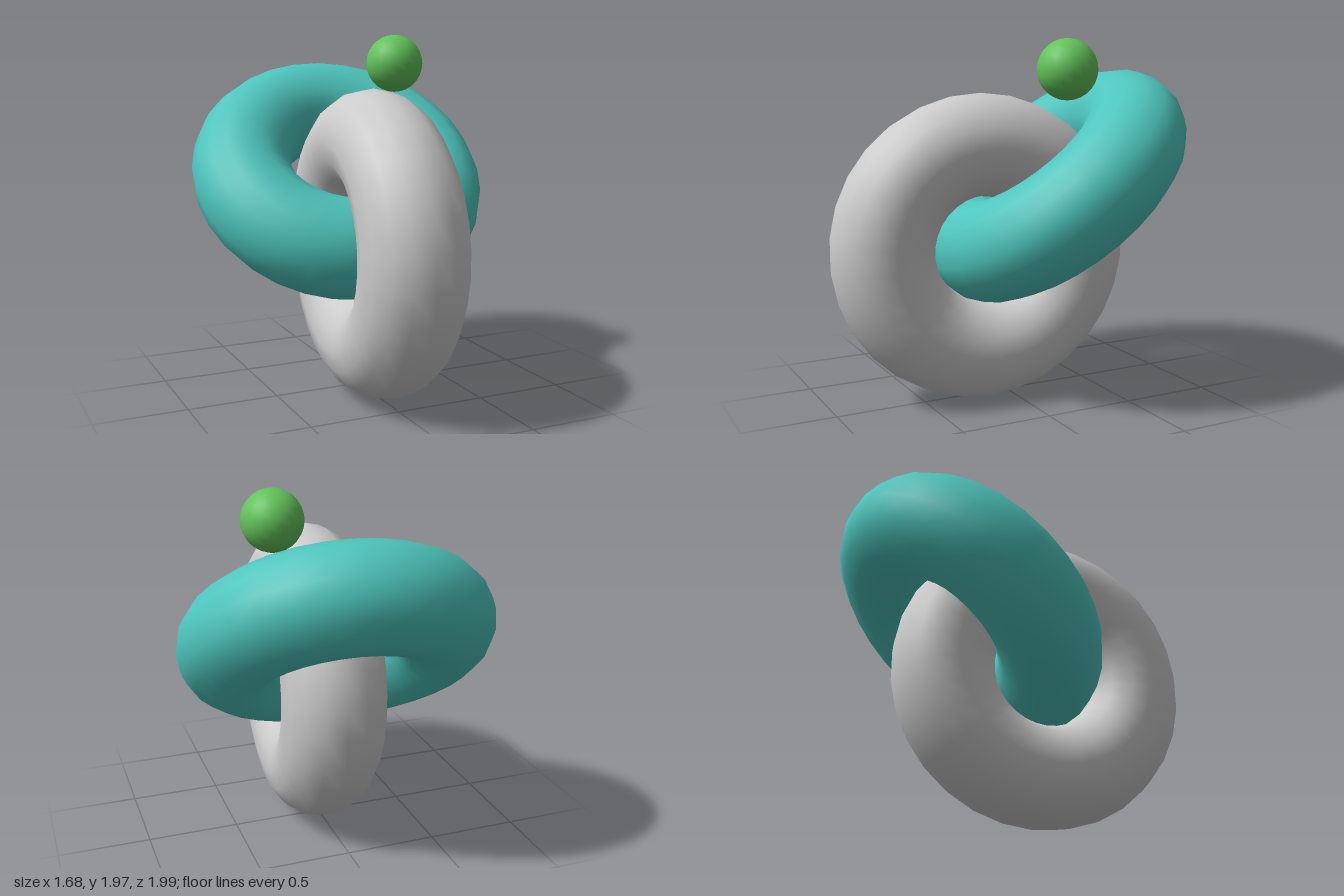
import * as THREE from 'three';

const RING_RADIUS = 0.56;
const TUBE_RADIUS = 0.28;

function addPart(group, name, geometry, color, position, rotation = [0, 0, 0]) {
  const mesh = new THREE.Mesh(geometry, new THREE.MeshStandardMaterial({ color }));
  mesh.name = name;
  mesh.position.set(...position);
  mesh.rotation.set(...rotation);
  group.add(mesh);
}

export function createModel() {
  const group = new THREE.Group();
  group.name = 'linkedRings';

  // Two equal thick rings, linked through each other's hole
  const ring = new THREE.TorusGeometry(RING_RADIUS, TUBE_RADIUS, 16, 30);

  // Upright ring, facing sideways and turned slightly
  addPart(group, 'uprightRing', ring, 0xcccccc,
    [0.01, 0.85, 0.16], [0, -(Math.PI / 2 + 0.08), Math.PI / 2]);

  // Leaning ring, high at the back and low at the front
  addPart(group, 'leaningRing', ring, 0x4ec5bd,
    [0, 1.18, -0.285], [-0.893, -0.07, 0]);

  // Small ball floating above the rings
  addPart(group, 'ball', new THREE.SphereGeometry(0.162, 20, 14), 0x62c45a,
    [0.315, 1.815, -0.2]);

  return group;
}
